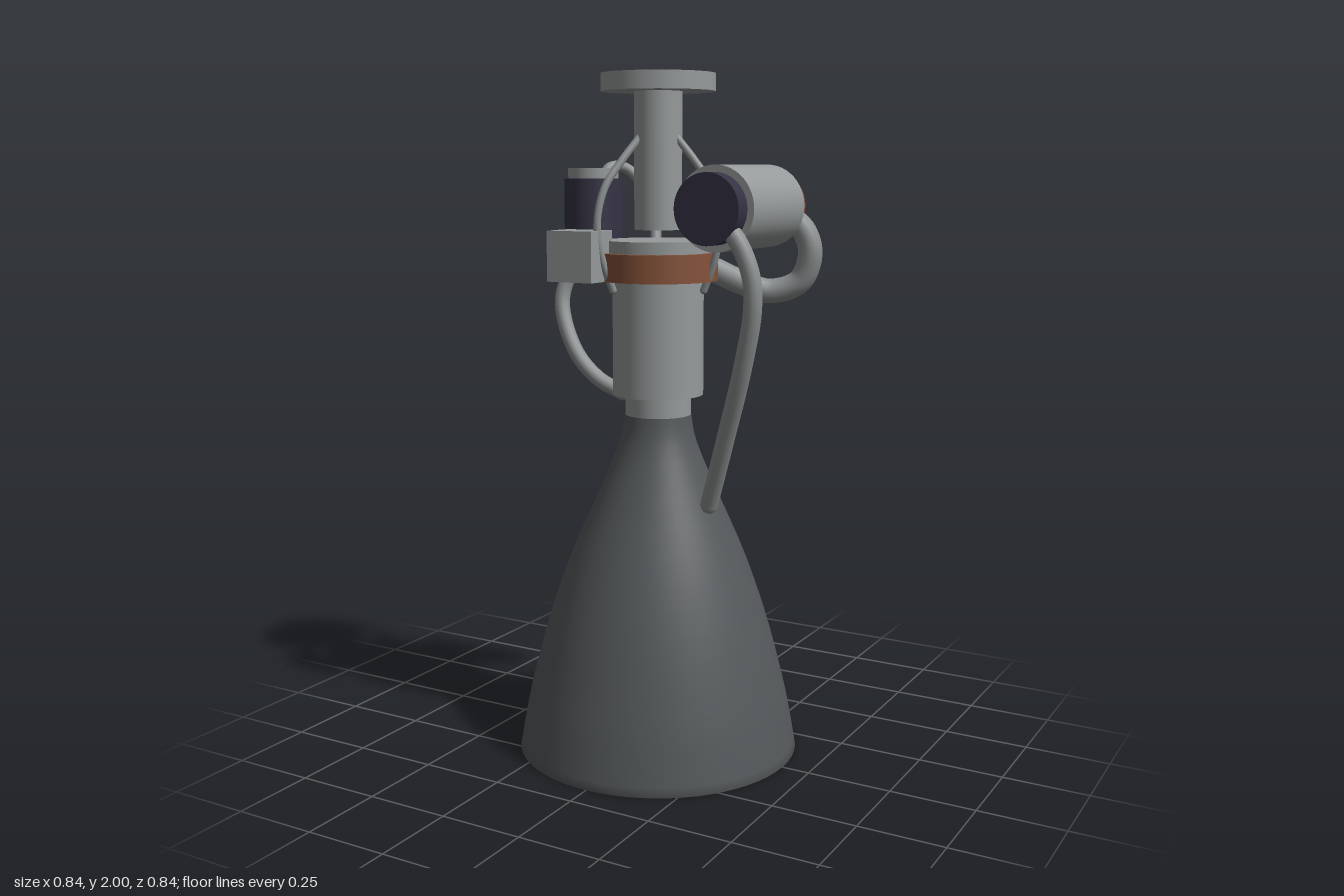
import * as THREE from 'three';

const material = (name, color) => {
  const m = new THREE.MeshStandardMaterial({ color });
  m.name = name;
  return m;
};

export function createModel() {
  const model = new THREE.Group();
  model.name = 'rocketEngine';
  const steel = material('lightSteel', 0x969a9a);
  const pipeGrey = material('pipeGrey', 0x8b8f8f);
  const bellGrey = material('bellGrey', 0x54585a);
  const copper = material('copper', 0x85523a);
  const navy = material('darkNavy', 0x353344);
  const AXIS = -0.003;

  const add = (name, geometry, mat, x = 0, y = 0, z = 0) => {
    const mesh = new THREE.Mesh(geometry, mat);
    mesh.name = name;
    mesh.position.set(x, y, z);
    model.add(mesh);
    return mesh;
  };
  // Upright cylinder between two heights
  const drum = (name, r, y0, y1, mat, x = AXIS, z = 0) =>
    add(name, new THREE.CylinderGeometry(r, r, y1 - y0, 48), mat, x, (y0 + y1) / 2, z);
  // Cylinder lying along z
  const barrel = (name, r, z0, z1, mat, x, y) => {
    const mesh = add(name, new THREE.CylinderGeometry(r, r, z1 - z0, 48), mat, x, y, (z0 + z1) / 2);
    mesh.rotation.x = Math.PI / 2;
  };
  // Bent pipe with rounded ends
  const pipe = (name, r, points, mat = pipeGrey) => {
    const path = points.map((p) => new THREE.Vector3(...p));
    add(name, new THREE.TubeGeometry(new THREE.CatmullRomCurve3(path), 48, r, 14), mat);
    for (const p of [path[0], path[path.length - 1]])
      add(name + 'End', new THREE.SphereGeometry(r, 14, 8), mat, p.x, p.y, p.z);
  };

  // Thin-walled nozzle bell, flaring down to the rim
  const outer = new THREE.SplineCurve([
    [0.42, 0], [0.402, 0.1], [0.381, 0.2], [0.328, 0.4], [0.258, 0.6],
    [0.17, 0.8], [0.113, 0.94], [0.098, 1.02],
  ].map((p) => new THREE.Vector2(...p))).getPoints(20);
  const inner = outer.map((p) => new THREE.Vector2(p.x - 0.01, p.y)).reverse();
  add('nozzleBell', new THREE.LatheGeometry([...inner, ...outer], 64), bellGrey, AXIS);

  // Throat, chamber, injector and mounting shaft
  drum('throat', 0.097, 1.015, 1.1, steel);
  drum('combustionChamber', 0.133, 1.08, 1.45, steel);
  drum('manifoldRing', 0.174, 1.415, 1.495, copper);
  drum('injectorPlate', 0.153, 1.49, 1.53, steel);
  drum('mountShaft', 0.069, 1.56, 1.96, steel);
  drum('mountFlange', 0.164, 1.95, 2, steel);

  // Three thin feed lines around the shaft
  for (let i = 0; i < 3; i++) {
    const a = (i * Math.PI * 2) / 3;
    pipe('feedLine', 0.011, [
      [0.062, 1.82], [0.12, 1.755], [0.175, 1.68], [0.2, 1.58], [0.185, 1.48], [0.15, 1.39],
    ].map(([r, y]) => [AXIS + r * Math.cos(a), y, r * Math.sin(a)]));
  }

  // Turbopump lying on its side
  barrel('turbopumpBody', 0.118, -0.165, 0.163, steel, 0.265, 1.627);
  barrel('turbopumpFrontCap', 0.098, 0.16, 0.215, navy, 0.265, 1.627);
  barrel('turbopumpRearCap', 0.098, -0.217, -0.16, copper, 0.265, 1.627);

  // Upright accumulator and control box
  drum('accumulator', 0.087, 1.46, 1.705, navy, -0.24, -0.028);
  drum('accumulatorCap', 0.075, 1.7, 1.735, steel, -0.24, -0.028);
  add('controlBox', new THREE.BoxGeometry(0.149, 0.145, 0.113), steel, -0.169, 1.4875, 0.1635);

  // Large pipes
  pipe('rearPumpPipe', 0.036, [
    [0.28, 1.59, -0.195], [0.345, 1.575, -0.21], [0.38, 1.5, -0.219], [0.35, 1.41, -0.216],
    [0.27, 1.38, -0.185], [0.2, 1.405, -0.14], [0.12, 1.45, -0.085],
  ]);
  pipe('frontPumpPipe', 0.026, [
    [0.29, 1.6, 0.188], [0.345, 1.545, 0.187], [0.385, 1.45, 0.182], [0.388, 1.36, 0.177],
    [0.35, 1.2, 0.155], [0.27, 0.98, 0.1], [0.192, 0.775, 0.045],
  ]);
  pipe('accumulatorLowerPipe', 0.023, [
    [-0.24, 1.49, -0.02], [-0.295, 1.425, 0.015], [-0.311, 1.34, 0.04],
    [-0.25, 1.2, 0.065], [-0.175, 1.12, 0.058], [-0.1, 1.08, 0.04],
  ]);
  pipe('accumulatorUpperPipe', 0.016, [
    [-0.248, 1.68, -0.085], [-0.242, 1.735, -0.12], [-0.215, 1.735, -0.172],
    [-0.165, 1.68, -0.196], [-0.12, 1.6, -0.18], [-0.09, 1.49, -0.14],
  ]);

  return model;
}
